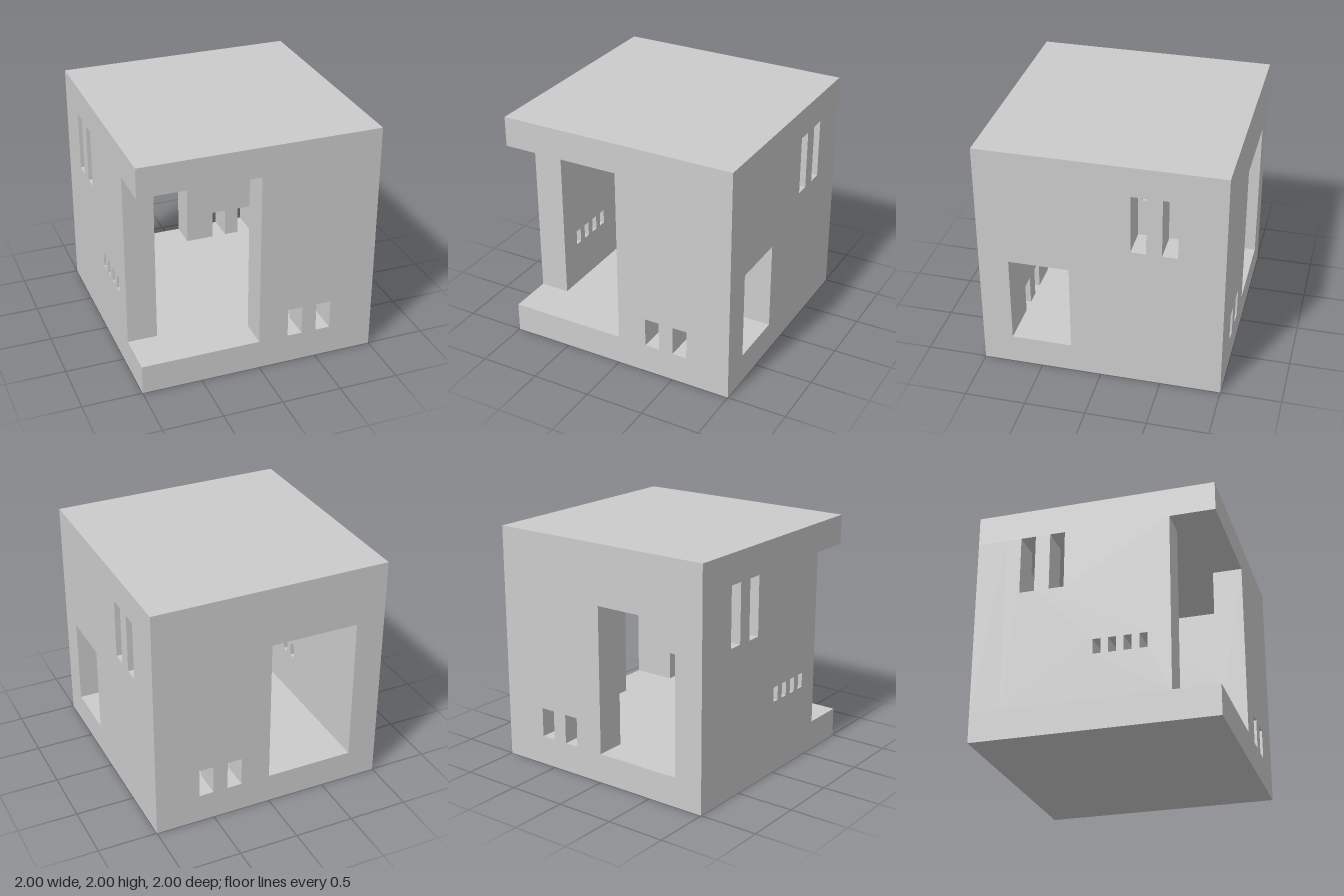
import * as THREE from 'three';

const T = 0.25;              // wall and slab thickness
const LOW = T, HIGH = 2 - T; // floor top and ceiling height
const material = new THREE.MeshStandardMaterial({ color: 0xcccccc, flatShading: true });

// Wall panel from u = from..to; floorCuts and ceilingCuts are [start, end, edge height],
// holes are [start, end, bottom, top].
function wallGeometry({ from, to, floorCuts = [], ceilingCuts = [], holes = [] }) {
  const pts = [];
  const add = (x, y) => pts.push(new THREE.Vector2(x, y));
  if (!floorCuts.some(([a]) => a === from)) add(from, LOW);
  for (const [a, b, h] of floorCuts) {
    if (a > from) add(a, LOW);
    add(a, h); add(b, h); add(b, LOW);
  }
  add(to, LOW);
  add(to, HIGH);
  for (const [a, b, h] of [...ceilingCuts].reverse()) {
    add(b, HIGH); add(b, h); add(a, h); add(a, HIGH);
  }
  add(from, HIGH);
  const shape = new THREE.Shape(pts);
  for (const [a, b, y0, y1] of holes) {
    shape.holes.push(new THREE.Path([[a, y0], [a, y1], [b, y1], [b, y0]]
      .map(([x, y]) => new THREE.Vector2(x, y))));
  }
  return new THREE.ExtrudeGeometry(shape, { depth: T, bevelEnabled: false });
}

export function createModel() {
  const group = new THREE.Group();
  const add = (name, geometry) => {
    const mesh = new THREE.Mesh(geometry, material);
    mesh.name = name;
    group.add(mesh);
  };

  // Floor and roof slabs
  add('floorSlab', new THREE.BoxGeometry(2, T, 2).translate(0, T / 2, 0));
  add('roofSlab', new THREE.BoxGeometry(2, T, 2).translate(0, 2 - T / 2, 0));

  // Front wall covers one half; the other half is an open corner
  const lowWindows = [[0.25, 0.375, 0.5], [0.5, 0.625, 0.5]];
  add('frontWall', wallGeometry({ from: 0, to: 1, floorCuts: lowWindows })
    .translate(0, 0, 1 - T));

  // Back wall with doorway and two low windows
  add('backWall', wallGeometry({ from: -1, to: 1, floorCuts: [[-0.75, 0, 1.5], ...lowWindows] })
    .translate(0, 0, -1));

  // Side walls run along u = -z, with tall windows up to the ceiling
  const tallWindows = [[0.25, 0.375, 1.25], [0.5, 0.625, 1.25]];
  add('leftWall', wallGeometry({
    from: -0.75, to: 0.75, floorCuts: [[-0.75, -0.25, 1]], ceilingCuts: tallWindows,
  }).rotateY(Math.PI / 2).translate(1 - T, 0, 0));

  // Opposite side stops short of the open corner and has a row of four slots
  const slots = [0, 1, 2, 3].map((i) => {
    const u = -0.4375 + i * 0.125;
    return [u, u + 0.0625, 0.625, 0.75];
  });
  add('rightWall', wallGeometry({ from: -0.625, to: 0.75, ceilingCuts: tallWindows, holes: slots })
    .rotateY(Math.PI / 2).translate(-1, 0, 0));

  return group;
}
